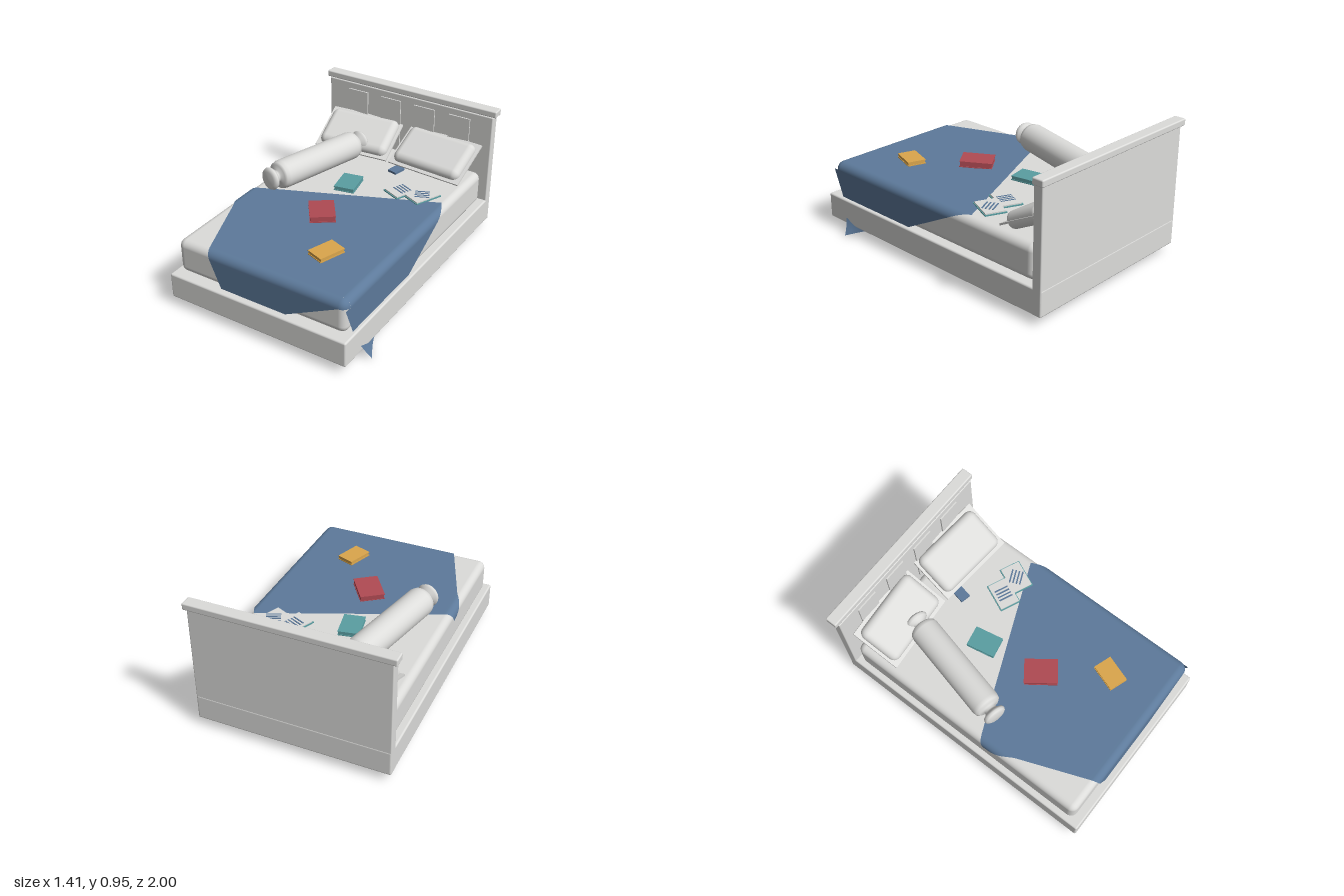
import * as THREE from 'three';
import { mergeGeometries, mergeVertices } from 'three/addons/utils/BufferGeometryUtils.js';
import { RoundedBoxGeometry } from 'three/addons/geometries/RoundedBoxGeometry.js';

const material = (name, color, side = THREE.FrontSide) => {
  const m = new THREE.MeshStandardMaterial({ color, side });
  m.name = name;
  return m;
};
const deg = Math.PI / 180;

// Blanket: flat cloth coordinates (x, z) bent over the mattress edges
const TOP = 0.488, R = 0.055, EDGE_X = 0.57, EDGE_LEFT = -0.597, EDGE_Z = 0.9;
function bend(over) {
  const arc = R * Math.PI / 2;
  return over < arc
    ? [R * Math.sin(over / R), R * (1 - Math.cos(over / R))]
    : [R, R + over - arc];
}
function drape(x, z) {
  if (x > EDGE_X) {
    const [out, drop] = bend(x - EDGE_X);
    const y = TOP - drop;
    // the hanging corner flares out over the bed frame
    const flare = Math.max(0, 0.16 + (z - 0.7) * 0.43 - y);
    return [EDGE_X + out + (y < 0.24 ? 2.1 * flare * flare : 0), y, z];
  }
  if (x < EDGE_LEFT) {
    const [out, drop] = bend(EDGE_LEFT - x);
    return [EDGE_LEFT - out, TOP - drop, z];
  }
  if (z > EDGE_Z) {
    const [out, drop] = bend(z - EDGE_Z);
    return [x, TOP - drop, EDGE_Z + out];
  }
  return [x, TOP, z];
}
// Corners in order: back left, back right, front right, front left
function clothPatch(a, b, c, d, n = 16) {
  const pos = [], index = [];
  for (let j = 0; j <= n; j++) {
    for (let i = 0; i <= n; i++) {
      const u = i / n, v = j / n;
      const at = (k) => (a[k] * (1 - u) + b[k] * u) * (1 - v) + (d[k] * (1 - u) + c[k] * u) * v;
      pos.push(...drape(at(0), at(1)));
      if (i < n && j < n) {
        const p = j * (n + 1) + i, q = p + n + 1;
        index.push(p, q, q + 1, p, q + 1, p + 1);
      }
    }
  }
  const g = new THREE.BufferGeometry();
  g.setAttribute('position', new THREE.Float32BufferAttribute(pos, 3));
  g.setIndex(index);
  return g;
}
function blanketGeometry() {
  const corner = new THREE.SphereGeometry(R, 8, 8, Math.PI / 2, Math.PI / 2, 0, Math.PI / 2);
  corner.translate(EDGE_X, TOP - R, EDGE_Z);
  corner.deleteAttribute('uv');
  corner.deleteAttribute('normal');
  const L = EDGE_LEFT, X = EDGE_X, Z = EDGE_Z;
  const g = mergeVertices(mergeGeometries([
    clothPatch([L, 0.153], [-0.41, 0.072], [-0.41, Z], [L, 0.42]),      // top, left part
    clothPatch([-0.41, 0.072], [X, -0.343], [X, Z], [-0.41, Z]),        // top, main part
    clothPatch([-0.7, 0.2], [L, 0.153], [L, 0.42], [-0.69, 0.26]),      // left edge
    clothPatch([X, -0.343], [0.656, -0.18], [0.656, Z], [X, Z]),        // right bend
    clothPatch([0.656, -0.18], [0.849, 0.19], [1.09, 0.78], [0.656, 0.955]), // right fall
    clothPatch([-0.41, Z], [X, Z], [X, 0.986], [-0.38, 0.986]),         // front bend
    clothPatch([-0.38, 0.986], [X, 0.986], [0.15, 1.2], [-0.29, 1.2]),  // front fall
    corner,
  ]), 1e-4);
  g.computeVertexNormals();
  return g;
}

export function createModel() {
  const bed = new THREE.Group();
  bed.name = 'bed';
  const white = material('white', 0xdcdcda);
  const blue = material('blue', 0x5d7a9b, THREE.DoubleSide);
  const teal = material('teal', 0x5a9ea2);
  const red = material('red', 0xb04a53);
  const yellow = material('yellow', 0xdba64c);

  const add = (name, geo, mat, x = 0, y = 0, z = 0, parent = bed) => {
    const m = new THREE.Mesh(geo, mat);
    m.name = name;
    m.position.set(x, y, z);
    parent.add(m);
    return m;
  };
  const group = (name, x, y, z, yaw) => {
    const g = new THREE.Group();
    g.name = name;
    g.position.set(x, y, z);
    g.rotation.order = 'YXZ';
    g.rotation.y = yaw * deg;
    bed.add(g);
    return g;
  };
  const rounded = (w, h, d, r) => new RoundedBoxGeometry(w, h, d, 4, r);
  const box = (w, h, d) => new THREE.BoxGeometry(w, h, d);

  // Frame, headboard and mattress
  add('bedFrame', rounded(1.33, 0.18, 1.985, 0.012), white, -0.015, 0.15, 0.0075);
  add('headboard', rounded(1.33, 0.84, 0.068, 0.008), white, -0.015, 0.48, -0.949);
  add('headboardCap', rounded(1.375, 0.047, 0.083, 0.009), white, -0.0175, 0.9235, -0.9585);
  for (let i = 0; i < 4; i++) {
    add('headboardPanel', box(0.165, 0.4, 0.012), white, -0.432 + i * 0.277, 0.65, -0.911);
  }
  add('mattress', rounded(1.255, 0.24, 1.83, 0.05), white, -0.0175, 0.36, 0.025);
  add('blanket', blanketGeometry(), blue);

  // Pillows leaning on the headboard
  for (const [x, yaw] of [[-0.325, 5], [0.295, -4]]) {
    const p = group('pillow', x, 0.59, -0.76, yaw);
    p.rotation.x = 28 * deg;
    add('pillowBody', rounded(0.535, 0.115, 0.315, 0.05), white, 0, 0, 0, p);
    add('pillowFlange', box(0.575, 0.012, 0.365), white, 0, 0, 0, p);
  }

  // Bolster with tied ends
  const half = [[0, 0.45], [0.055, 0.448], [0.074, 0.438], [0.08, 0.425], [0.074, 0.41], [0.05, 0.397],
    [0.042, 0.385], [0.044, 0.368], [0.078, 0.364], [0.093, 0.352], [0.1, 0.325]];
  const profile = [...half.map(([r, t]) => [r, -t]), ...half.slice().reverse()];
  const bolster = add('bolster', new THREE.LatheGeometry(profile.map(([r, t]) => new THREE.Vector2(r, t)), 40),
    white, -0.37, 0.59, -0.25);
  bolster.quaternion.setFromUnitVectors(new THREE.Vector3(0, 1, 0),
    new THREE.Vector3(-0.21, 0.025, 0.86).normalize());

  // Closed books: two covers around a slightly smaller block
  const book = (name, mat, x, y, z, w, h, d, yaw, tilt = 0) => {
    const b = group(name, x, y + h / 2, z, yaw);
    b.rotation.x = tilt * deg;
    add('bookBlock', box(w - 0.008, h, d - 0.008), mat, 0, 0, 0, b);
    for (const s of [-1, 1]) add('bookCover', box(w, 0.006, d), mat, 0, s * h / 2, 0, b);
  };
  book('tealBook', teal, -0.09, 0.483, -0.225, 0.145, 0.025, 0.2, 11);
  book('redBook', red, -0.03, 0.491, 0.205, 0.17, 0.036, 0.225, 36, -2);
  book('yellowBook', yellow, 0.245, 0.491, 0.575, 0.13, 0.024, 0.19, -19);
  add('handset', box(0.072, 0.016, 0.096), blue, 0, 0, 0, group('handsetHolder', 0.09, 0.489, -0.575, -12));

  // Open book with ruled pages
  for (const [x, z, lineYaw] of [[0.267, -0.345, 0], [0.418, -0.352, 48]]) {
    const page = group('openBookHalf', x, 0.489, z, -24);
    add('openBookCover', box(0.15, 0.008, 0.208), teal, 0, 0, 0, page);
    add('openBookPage', box(0.138, 0.016, 0.194), white, 0, 0.004, 0, page);
    for (let i = 0; i < 4; i++) {
      const line = add('pageLine', box(0.1, 0.003, 0.01), blue, 0, 0.0125, 0, page);
      line.rotation.y = lineYaw * deg;
      line.translateZ(-0.036 + i * 0.024);
    }
  }
  return bed;
}
